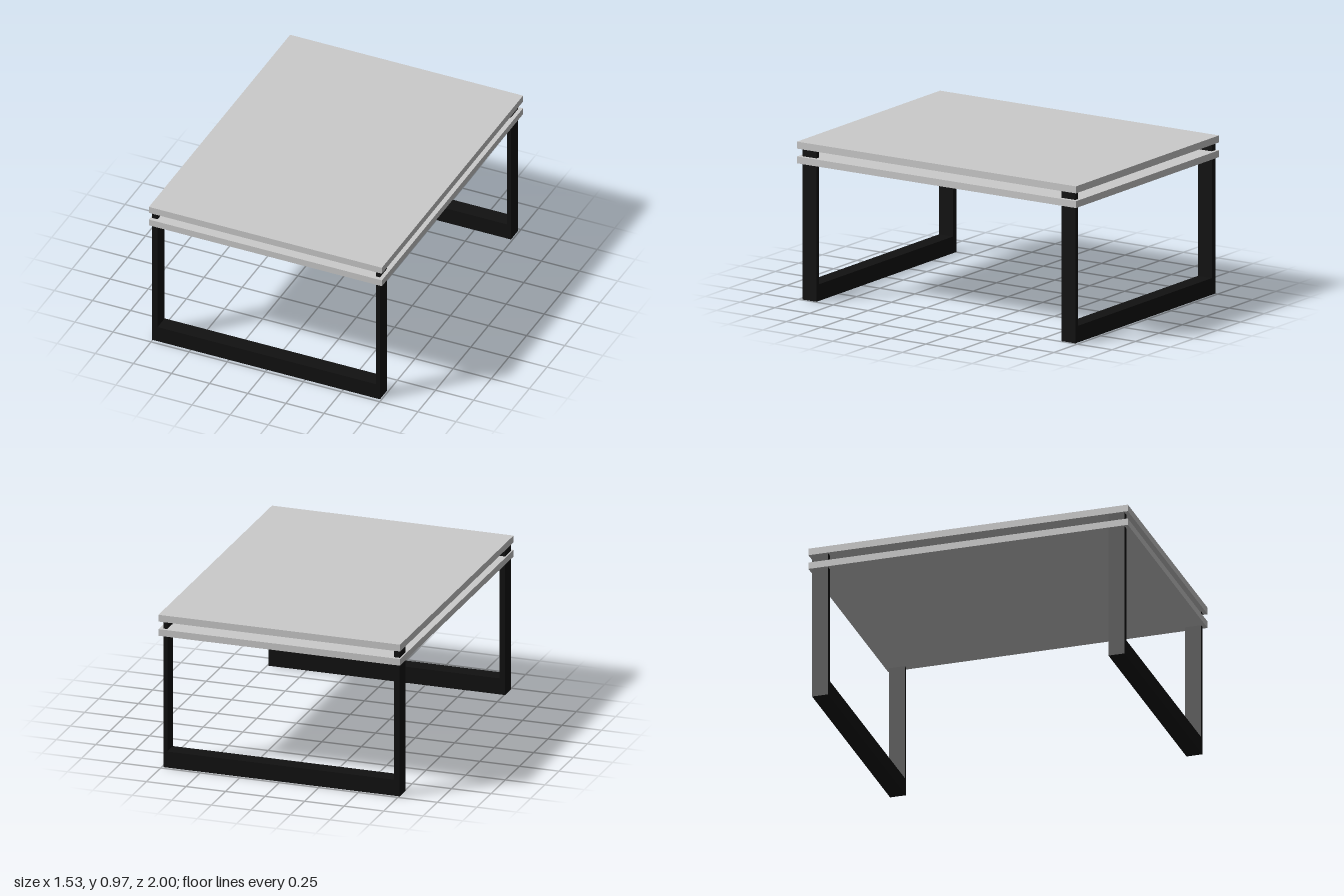
import * as THREE from 'three';

const grey = new THREE.MeshStandardMaterial({ color: 0xcccccc });
const black = new THREE.MeshStandardMaterial({ color: 0x111111 });

// Box given by its lower and upper corners
function slab(name, [x0, y0, z0], [x1, y1, z1], material) {
  const mesh = new THREE.Mesh(new THREE.BoxGeometry(x1 - x0, y1 - y0, z1 - z0), material);
  mesh.position.set((x0 + x1) / 2, (y0 + y1) / 2, (z0 + z1) / 2);
  mesh.name = name;
  return mesh;
}

// U-shaped leg frame: two flat posts joined by a floor bar
function legFrame(name, z) {
  const depth = 0.1;
  const shape = new THREE.Shape([
    [-0.755, 0], [0.74, 0], [0.74, 0.928], [0.715, 0.928],
    [0.715, 0.102], [-0.718, 0.102], [-0.718, 0.928], [-0.755, 0.928],
  ].map(([x, y]) => new THREE.Vector2(x, y)));
  const geometry = new THREE.ExtrudeGeometry(shape, { depth, bevelEnabled: false });
  const mesh = new THREE.Mesh(geometry, black);
  mesh.position.z = z - depth / 2;
  mesh.name = name;
  return mesh;
}

export function createModel() {
  const table = new THREE.Group();
  table.name = 'table';

  // Two equal boards with a narrow gap between them
  table.add(slab('tableTop', [-0.764, 0.927, -1], [0.764, 0.97, 1], grey));
  table.add(slab('lowerShelf', [-0.764, 0.837, -1], [0.764, 0.879, 1], grey));

  // Leg frames at both ends
  table.add(legFrame('frontLegFrame', 0.926));
  table.add(legFrame('backLegFrame', -0.93));
  return table;
}
